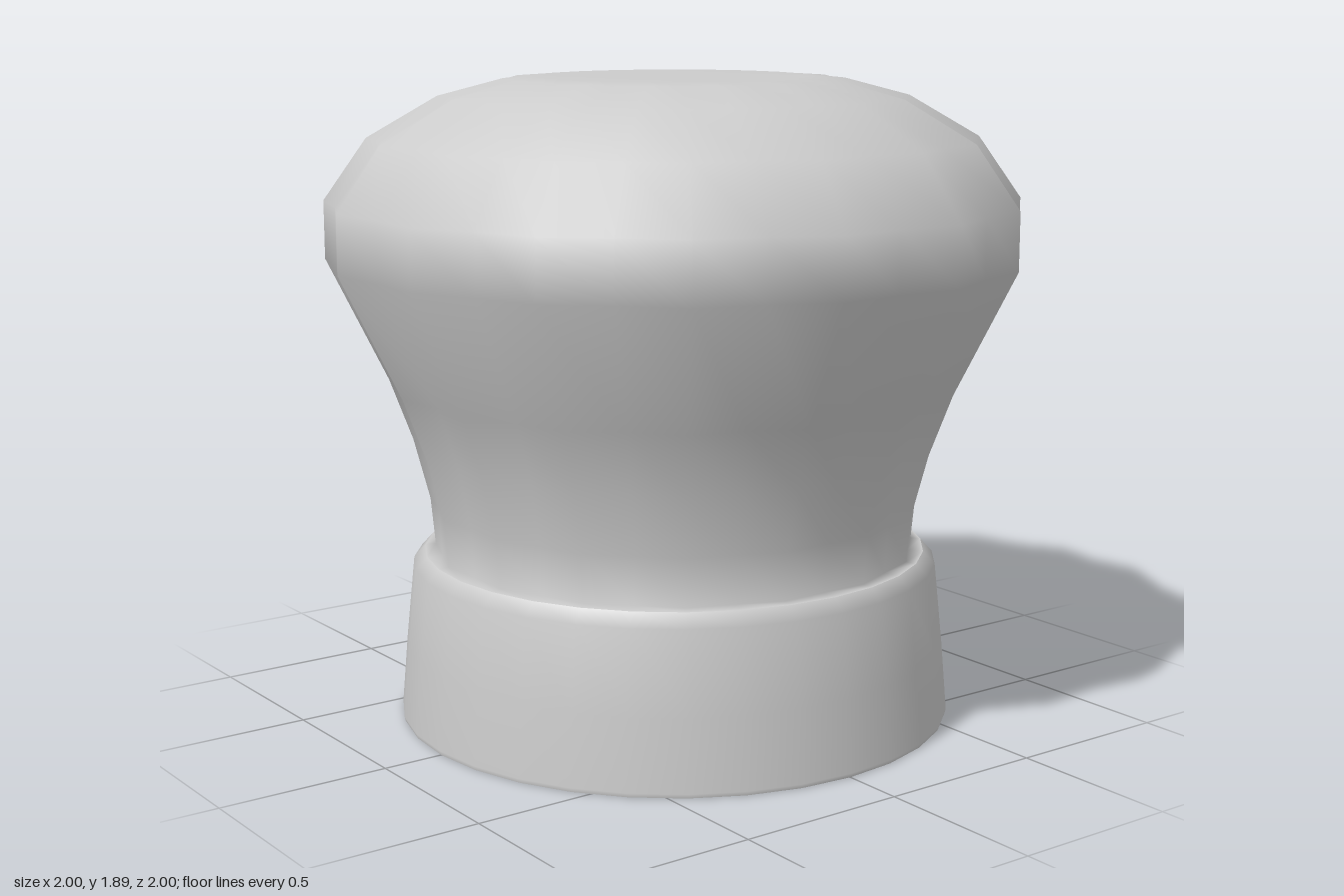
import * as THREE from 'three';
import { mergeVertices } from 'three/addons/utils/BufferGeometryUtils.js';

const SEGMENTS = 32; // two per pleat: one ridge, one valley
const material = new THREE.MeshStandardMaterial({ color: 0xcccccc, side: THREE.DoubleSide });

// Revolve rows of [radius, height, pleat depth]; every other column is pulled in by the depth.
function pleatedLathe(name, rows) {
  const geometry = new THREE.LatheGeometry(rows.map(([r, y]) => new THREE.Vector2(r, y)), SEGMENTS);
  const position = geometry.attributes.position;
  for (let i = 0; i < position.count; i++) {
    const column = Math.floor(i / rows.length);
    const [radius, y, depth = 0] = rows[i % rows.length];
    const r = column % 2 === 0 ? radius - depth : radius;
    const angle = ((column % SEGMENTS) / SEGMENTS) * Math.PI * 2;
    position.setXYZ(i, r * Math.sin(angle), y, r * Math.cos(angle));
  }
  // weld the seam so the shading is continuous
  geometry.deleteAttribute('normal');
  geometry.deleteAttribute('uv');
  const welded = mergeVertices(geometry);
  welded.computeVertexNormals();
  const mesh = new THREE.Mesh(welded, material);
  mesh.name = name;
  return mesh;
}

export function createModel() {
  const hat = new THREE.Group();
  hat.name = 'chefHat';

  // Tapered head band, open underneath
  hat.add(pleatedLathe('headBand', [
    [0.82, 0], [0.823, 0.012], [0.805, 0.22], [0.78, 0.46], [0.745, 0.497],
  ]));

  // Puffed, pleated crown, starting with the narrow ledge on top of the band
  hat.add(pleatedLathe('crown', [
    [0.745, 0.497, 0],
    [0.715, 0.5, 0.015],
    [0.728, 0.64, 0.02],
    [0.775, 0.82, 0.03],
    [0.842, 1.0, 0.035],
    [1.019, 1.36, 0.035],
    [1.019, 1.53, 0.035],
    [0.892, 1.71, 0.04],
    [0.685, 1.83, 0.045],
    [0.495, 1.88, 0.025],
    [0.39, 1.887, 0],
    [0, 1.887, 0],
  ]));
  return hat;
}
